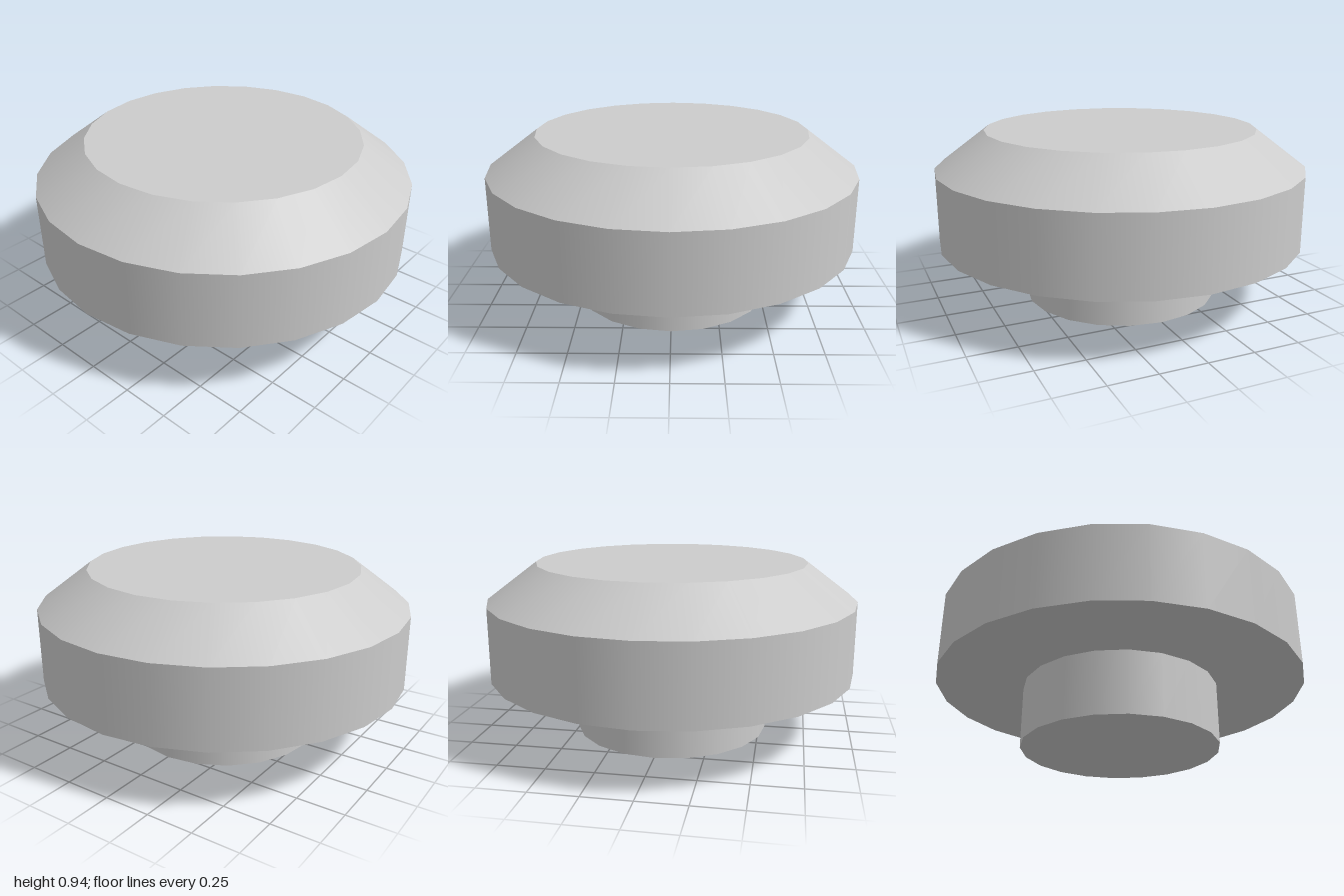
import * as THREE from 'three';

// A faceted-outline push button: round stem, wide body and bevelled cap.
export function createModel() {
  const group = new THREE.Group();
  const grey = new THREE.MeshStandardMaterial({ color: 0xcccccc });
  grey.name = 'light grey';

  // Adds a smooth-sided disc between two heights.
  function addDisc(name, topRadius, bottomRadius, y0, y1, sides) {
    const geometry = new THREE.CylinderGeometry(topRadius, bottomRadius, y1 - y0, sides);
    const mesh = new THREE.Mesh(geometry, grey);
    mesh.name = name;
    mesh.position.y = (y0 + y1) / 2;
    group.add(mesh);
  }

  addDisc('stem', 0.533, 0.533, 0, 0.335, 20);
  addDisc('body', 1, 1, 0.335, 0.735, 24);
  addDisc('bevelledCap', 0.733, 1, 0.735, 0.935, 24);

  return group;
}
